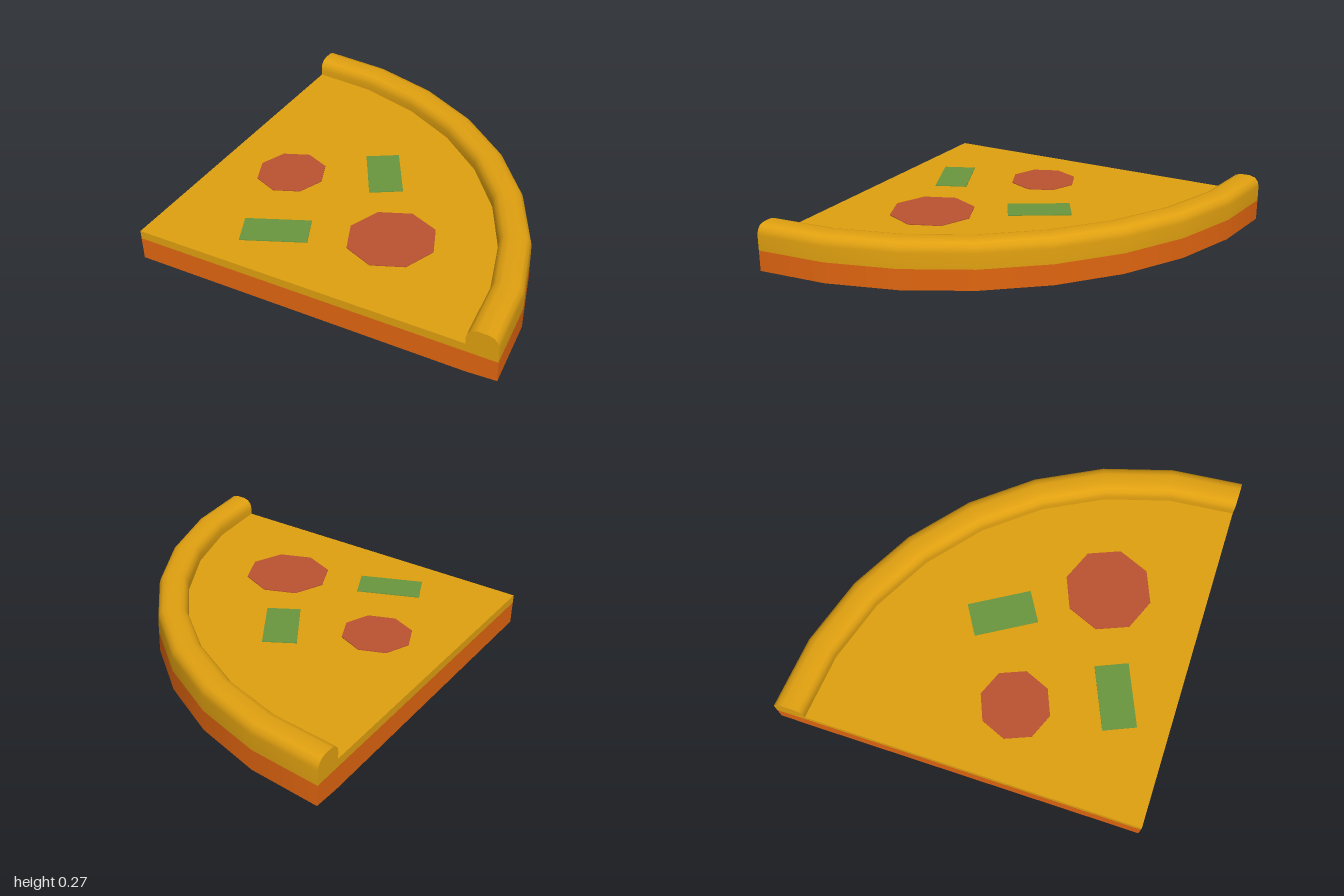
import * as THREE from 'three';

const mat = (name, color) => {
  const m = new THREE.MeshStandardMaterial({ color });
  m.name = name;
  return m;
};

export function createModel() {
  const group = new THREE.Group();
  const cheese = mat('golden cheese', 0xe0a010);
  const sauce = mat('orange base', 0xe06510);
  const red = mat('sausage red', 0xbb5231);
  const green = mat('pepper green', 0x6a973e);

  const add = (name, geo, material, x, y, z, rotY = 0) => {
    const mesh = new THREE.Mesh(geo, material);
    mesh.name = name;
    mesh.position.set(x, y, z);
    mesh.rotation.y = rotY;
    group.add(mesh);
  };
  const vec = (pts) => pts.map(([r, y]) => new THREE.Vector2(r, y));

  // Quarter-turn sweep around the slice tip at (-1, 1)
  const sweep = (name, pts, material) =>
    add(name, new THREE.LatheGeometry(vec(pts), 8, Math.PI / 2, Math.PI / 2), material, -1, 0, 1);

  // Both straight cut faces of a layer
  const cutFaces = (name, pts, material) => {
    add(name + 'FrontCut', new THREE.ShapeGeometry(new THREE.Shape(vec(pts))), material, -1, 0, 1);
    const mirrored = pts.map(([r, y]) => [-r, y]);
    add(name + 'SideCut', new THREE.ShapeGeometry(new THREE.Shape(vec(mirrored))), material, -1, 0, 1, -Math.PI / 2);
  };

  const bottom = [[0, 0], [1.84, 0], [2, 0.01]];
  const baseSide = [[2, 0.01], [2, 0.125]];
  const crust = [[2, 0.125], [2, 0.21], [1.993, 0.238], [1.975, 0.259], [1.945, 0.268],
    [1.89, 0.268], [1.86, 0.258], [1.842, 0.238], [1.835, 0.21], [1.835, 0.172]];
  const top = [[1.835, 0.172], [0, 0.172]];

  // Layers of the slice
  sweep('baseBottom', bottom, sauce);
  sweep('baseRim', baseSide, sauce);
  sweep('crust', crust, cheese);
  sweep('cheeseTop', top, cheese);
  cutFaces('base', [...bottom, [2, 0.125], [0, 0.125]], sauce);
  cutFaces('cheese', [[0, 0.125], ...crust, [0, 0.172]], cheese);

  // Toppings: octagonal sausage discs and pepper strips
  for (const [x, z, r] of [[-0.59, 0.19, 0.192], [0.18, 0.47, 0.238]])
    add('sausageSlice', new THREE.CylinderGeometry(r, r, 0.006, 8), red, x, 0.173, z);
  for (const [x, z, turn] of [[-0.128, -0.033, -1.03], [-0.383, 0.678, 0.41]])
    add('pepperStrip', new THREE.BoxGeometry(0.35, 0.006, 0.183), green, x, 0.173, z, turn);

  return group;
}
